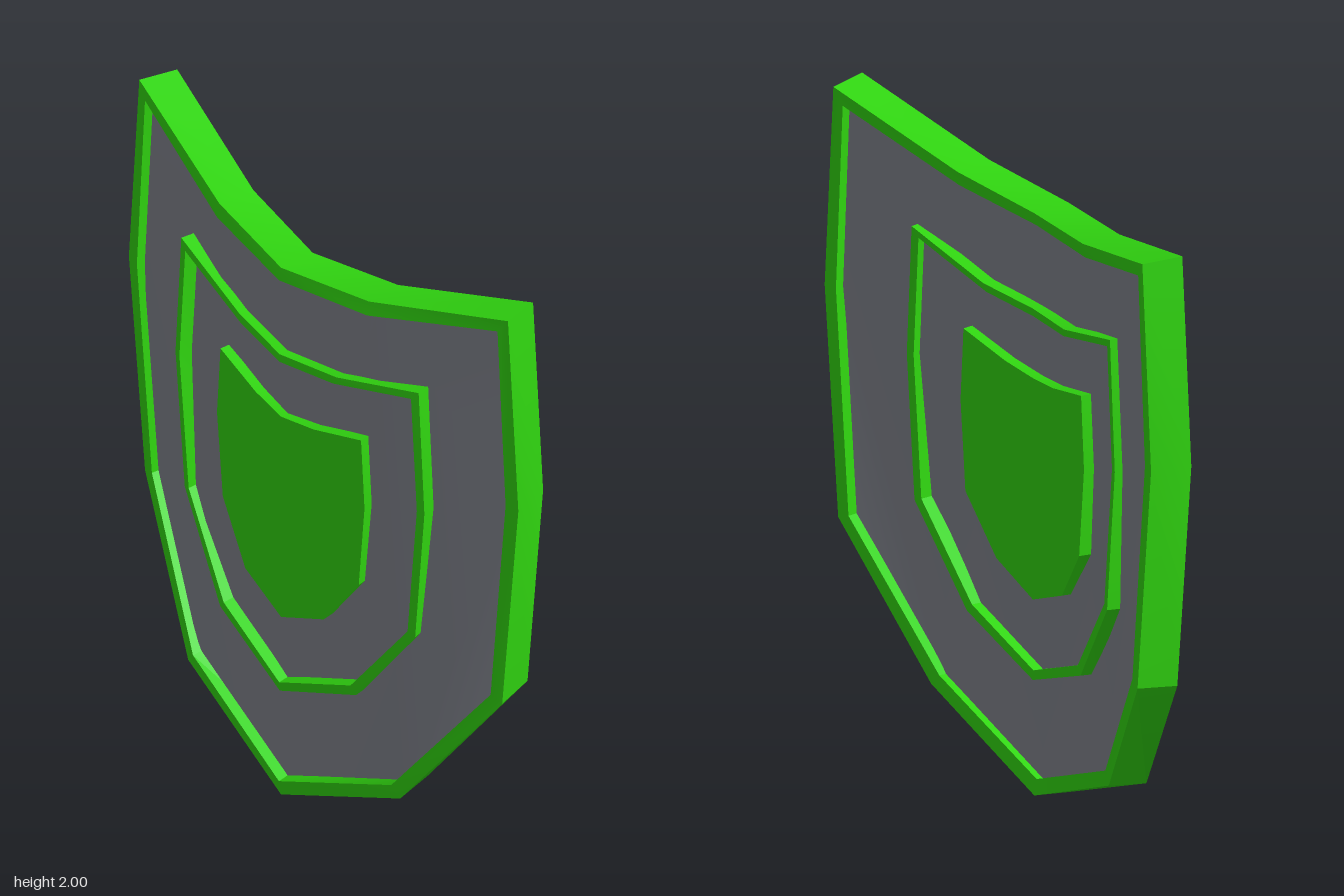
import * as THREE from 'three';
import { toCreasedNormals } from 'three/addons/utils/BufferGeometryUtils.js';

// Each half outline runs from top centre, out to the corner, down to the tip.
const RIM_OUTER = [[0, 1.84], [0.325, 1.87], [0.8, 2], [0.845, 1.36], [0.775, 0.65], [0.46, 0.205], [0, 0]];
const RIM_INNER = [[0, 1.8], [0.325, 1.825], [0.765, 1.95], [0.8, 1.36], [0.735, 0.665], [0.43, 0.24], [0, 0.05]];
const RING_OUTER = [[0, 1.54], [0.21, 1.555], [0.515, 1.64], [0.54, 1.23], [0.5, 0.78], [0.295, 0.49], [0, 0.365]];
const RING_INNER = [[0, 1.515], [0.2, 1.53], [0.49, 1.61], [0.515, 1.23], [0.475, 0.79], [0.275, 0.515], [0, 0.395]];
const BOSS = [[0, 1.32], [0.125, 1.335], [0.305, 1.38], [0.32, 1.15], [0.295, 0.87], [0.17, 0.695], [0, 0.62]];

// Faces filling the twelve-point outline, clockwise from the front
const CAP = [[0, 1, 5, 6], [1, 2, 3], [1, 3, 5], [3, 4, 5], [0, 6, 7, 11], [7, 9, 11], [7, 8, 9], [9, 10, 11]];

// Bent closed loop: centre, middle and corner columns have their own z
function makeLoop(half, [centre, middle, corner]) {
  const z = [centre, middle, corner, corner, corner, middle, centre];
  const right = half.map(([x, y], i) => [x, y, z[i]]);
  const left = right.slice(1, 6).reverse().map(([x, y, d]) => [-x, y, d]);
  return [...right, ...left];
}

// Back loop, drawn slightly inward to follow the bend
function pushBack(loop, depth) {
  return loop.map(([x, y, z]) => [x * (1 - 0.29 * depth), y + depth * (0.16 - 0.1 * y), z - depth]);
}

function build(name, faces, material) {
  const positions = [];
  for (const face of faces) {
    for (let i = 1; i < face.length - 1; i++) positions.push(...face[0], ...face[i], ...face[i + 1]);
  }
  const geometry = new THREE.BufferGeometry();
  geometry.setAttribute('position', new THREE.Float32BufferAttribute(positions, 3));
  const mesh = new THREE.Mesh(toCreasedNormals(geometry, 0.5), material);
  mesh.name = name;
  return mesh;
}

// Solid bent plate
function makePlate(name, half, z, depth, material) {
  const front = makeLoop(half, z);
  const back = pushBack(front, depth);
  const faces = [];
  for (const cap of CAP) {
    faces.push(cap.map((i) => front[i]).reverse(), cap.map((i) => back[i]));
  }
  front.forEach((p, i) => {
    const j = (i + 1) % front.length;
    faces.push([p, front[j], back[j], back[i]]);
  });
  return build(name, faces, material);
}

// Bent frame with an open middle
function makeFrame(name, outerHalf, outerZ, innerHalf, innerZ, depth, material) {
  const outer = makeLoop(outerHalf, outerZ);
  const inner = makeLoop(innerHalf, innerZ);
  const outerBack = pushBack(outer, depth);
  const innerBack = pushBack(inner, depth);
  const faces = [];
  outer.forEach((p, i) => {
    const j = (i + 1) % outer.length;
    faces.push(
      [p, inner[i], inner[j], outer[j]],
      [outerBack[j], innerBack[j], innerBack[i], outerBack[i]],
      [p, outer[j], outerBack[j], outerBack[i]],
      [innerBack[i], innerBack[j], inner[j], inner[i]],
    );
  });
  return build(name, faces, material);
}

export function createModel() {
  const green = new THREE.MeshStandardMaterial({ color: 0x30d510 });
  green.name = 'bright green';
  const grey = new THREE.MeshStandardMaterial({ color: 0x80838c });
  grey.name = 'steel grey';

  // Panel reaches halfway under the rim
  const panel = RIM_INNER.map(([x, y], i) => [(x + RIM_OUTER[i][0]) / 2, (y + RIM_OUTER[i][1]) / 2]);

  const shield = new THREE.Group();
  shield.name = 'shield';
  shield.add(
    makePlate('panel', panel, [0.11, 0.062, -0.05], 0.065, grey),
    makeFrame('outerRim', RIM_OUTER, [0.135, 0.085, -0.027], RIM_INNER, [0.143, 0.093, -0.018], 0.12, green),
    makeFrame('innerRing', RING_OUTER, [0.14, 0.108, 0.063], RING_INNER, [0.142, 0.112, 0.07], 0.13, green),
    makePlate('centreBoss', BOSS, [0.135, 0.122, 0.098], 0.125, green),
  );
  return shield;
}
